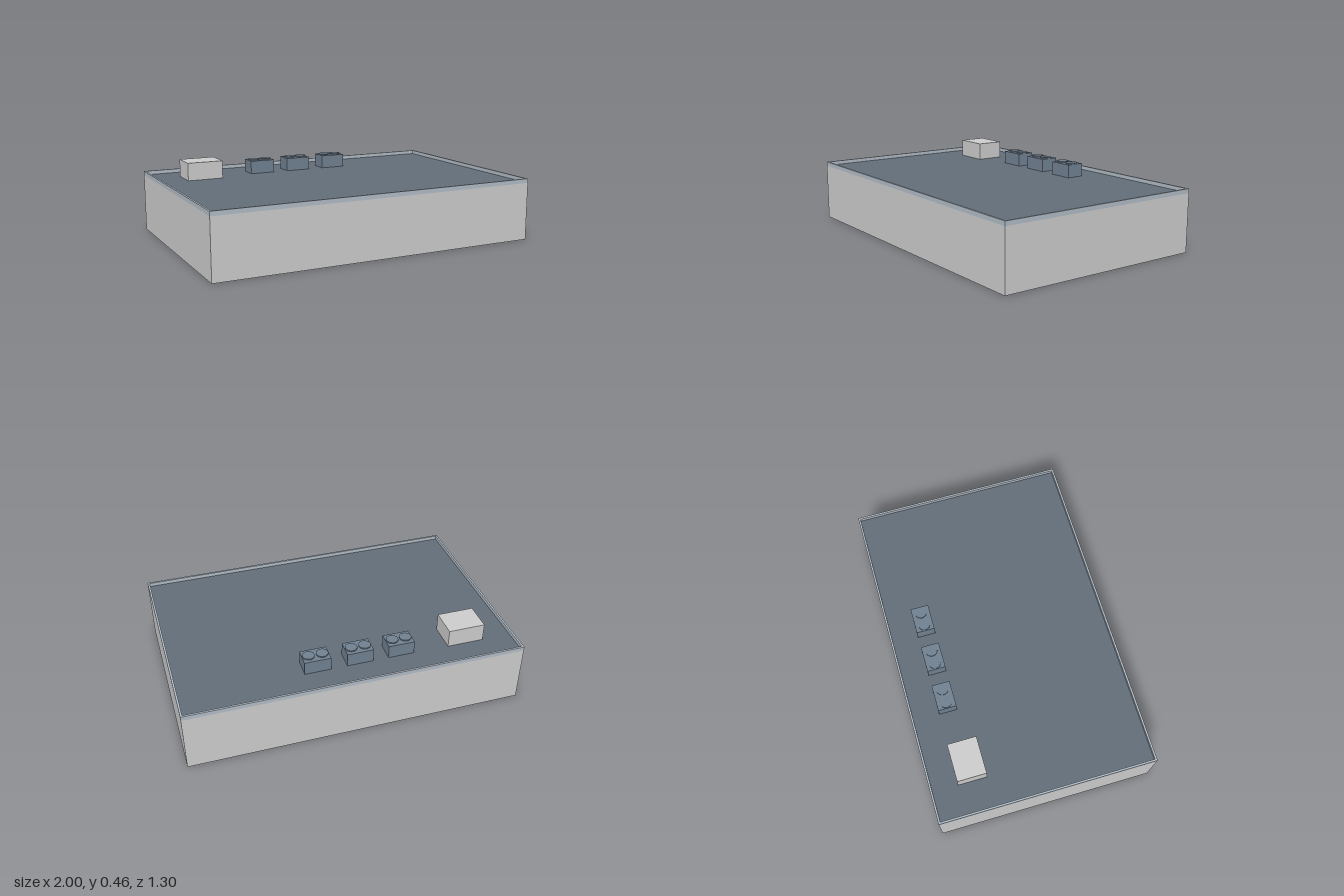
import * as THREE from 'three';

const W = 2, D = 1.296, WALL_TOP = 0.35, ROOF = 0.353, TOP = 0.376, RIM = 0.012;

const grey = new THREE.MeshStandardMaterial({ color: 0xcccccc });
const rimBlue = new THREE.MeshStandardMaterial({ color: 0xb0bbc5 });
const roofBlue = new THREE.MeshStandardMaterial({ color: 0x626d78 });
const unitBlue = new THREE.MeshStandardMaterial({ color: 0x708090 });

function add(parent, name, geometry, material, x = 0, y = 0, z = 0) {
  const mesh = new THREE.Mesh(geometry, material);
  mesh.name = name;
  mesh.position.set(x, y, z);
  parent.add(mesh);
  return mesh;
}

// Box placed by its bottom height
function addBox(parent, name, material, w, h, d, x, bottom, z) {
  return add(parent, name, new THREE.BoxGeometry(w, h, d), material, x, bottom + h / 2, z);
}

// Rectangular outline, as corner points
function rectangle(w, d) {
  return [[-1, -1], [1, -1], [1, 1], [-1, 1]].map(([x, y]) => new THREE.Vector2(x * w / 2, y * d / 2));
}

// Rooftop cooling unit with two round fans
function coolingUnit(x, z) {
  const unit = new THREE.Group();
  unit.name = 'coolingUnit';
  unit.position.set(x, ROOF, z);
  const height = 0.08;
  addBox(unit, 'coolingUnitBody', unitBlue, 0.156, height, 0.108, 0, 0, 0);
  for (const side of [-1, 1]) {
    add(unit, 'fan', new THREE.CylinderGeometry(0.035, 0.035, 0.007, 32), unitBlue,
      side * 0.04, height + 0.0035, 0);
  }
  return unit;
}

export function createModel() {
  const model = new THREE.Group();
  model.name = 'flatRoofBuilding';

  // Plain walls and the recessed roof deck
  addBox(model, 'walls', grey, W, WALL_TOP, D, 0, 0, 0);
  addBox(model, 'roofDeck', roofBlue, W - 2 * RIM, ROOF - WALL_TOP, D - 2 * RIM, 0, WALL_TOP, 0);

  // Thin parapet around the roof edge
  const outline = new THREE.Shape(rectangle(W, D));
  outline.holes.push(new THREE.Path(rectangle(W - 2 * RIM, D - 2 * RIM).reverse()));
  const parapet = new THREE.ExtrudeGeometry(outline, { depth: TOP - WALL_TOP, bevelEnabled: false });
  parapet.rotateX(-Math.PI / 2);
  add(model, 'parapet', parapet, rimBlue, 0, WALL_TOP, 0);

  // Stair housing and a row of cooling units near the back
  addBox(model, 'roofHousing', grey, 0.22, 0.461 - ROOF, 0.172, -0.703, ROOF, -0.4);
  for (const x of [-0.303, -0.055, 0.197]) model.add(coolingUnit(x, -0.428));

  return model;
}
